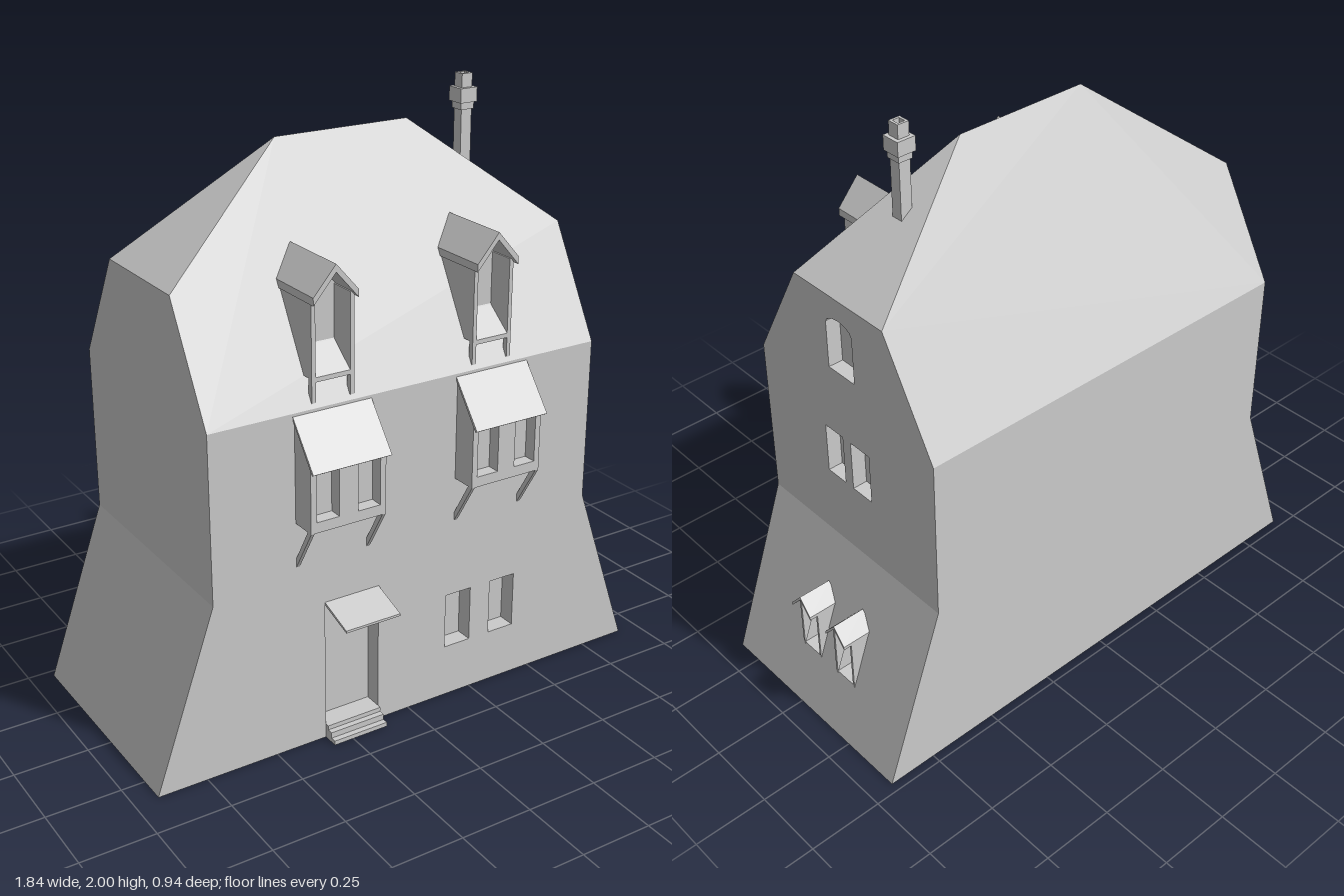
import * as THREE from 'three';

const material = new THREE.MeshStandardMaterial({ color: 0xcccccc, flatShading: true, side: THREE.DoubleSide });
const toShape = (pts) => new THREE.Shape(pts.map(([x, y]) => new THREE.Vector2(x, y)));
const rect = (x0, x1, y0, y1) => [[x0, y0], [x1, y0], [x1, y1], [x0, y1]];

function add(parent, name, geometry) {
  const mesh = new THREE.Mesh(geometry, material);
  mesh.name = name;
  parent.add(mesh);
  return mesh;
}

function box(parent, name, x0, x1, y0, y1, z0, z1) {
  const g = new THREE.BoxGeometry(x1 - x0, y1 - y0, z1 - z0);
  add(parent, name, g.translate((x0 + x1) / 2, (y0 + y1) / 2, (z0 + z1) / 2));
}

// Solid with a flat outline in x, y, running from z0 to z1
const extrude = (pts, z0, z1) =>
  new THREE.ExtrudeGeometry(toShape(pts), { depth: z1 - z0, bevelEnabled: false }).translate(0, 0, z0);

// Solid with a side profile in z, y, running from x0 to x1
const prism = (pts, x0, x1) =>
  new THREE.ExtrudeGeometry(toShape(pts), { depth: x1 - x0, bevelEnabled: false })
    .rotateY(-Math.PI / 2).translate(x1, 0, 0);

// Flat shape moved to its place by the rule place(u, v, d), d = 0 surface, d = 1 recessed
function sheet(shape, place, d) {
  const g = new THREE.ShapeGeometry(shape);
  const p = g.attributes.position;
  for (let i = 0; i < p.count; i++) p.setXYZ(i, ...place(p.getX(i), p.getY(i), d));
  g.computeVertexNormals();
  return g;
}

// Wall with recessed openings
function wall(parent, name, outline, holes, place) {
  const shape = toShape(outline);
  holes.forEach((pts) => shape.holes.push(toShape(pts)));
  add(parent, name, sheet(shape, place, 0));
  holes.forEach((pts) => {
    add(parent, name + 'Pane', sheet(toShape(pts), place, 1));
    const v = [];
    pts.forEach(([a, b], i) => {
      const [c, e] = pts[(i + 1) % pts.length];
      v.push(...place(a, b, 0), ...place(c, e, 0), ...place(c, e, 1));
      v.push(...place(a, b, 0), ...place(c, e, 1), ...place(a, b, 1));
    });
    add(parent, name + 'Reveal', polygon(v));
  });
}

function polygon(coords) {
  const g = new THREE.BufferGeometry();
  g.setAttribute('position', new THREE.Float32BufferAttribute(coords, 3));
  g.computeVertexNormals();
  return g;
}

// Gable roof slab outline
const chevron = (w, eave, apex, t) =>
  [[-w, eave], [-w, eave - t], [0, apex - t], [w, eave - t], [w, eave], [0, apex]];

const FRONT = 0.345, BACK = -0.47, RIDGE = -0.06;

function addShell(house) {
  const facade = [[-0.92, 0], [0.92, 0], [0.71, 0.6], [0.71, 1.16], [-0.71, 1.16], [-0.71, 0.6]];
  wall(house, 'frontWall', facade,
    [rect(-0.32, -0.12, 0.05, 0.495), rect(0.145, 0.245, 0.185, 0.38), rect(0.325, 0.425, 0.185, 0.38)],
    (u, v, d) => [u, v, FRONT - 0.06 * d]);
  wall(house, 'backWall', facade, [], (u, v) => [-u, v, BACK]);

  // Side walls: sloping foot, upright upper part; only the +x side has windows
  const foot = rect(BACK, FRONT, 0, 0.6);
  const upper = [[BACK, 0.6], [FRONT, 0.6], [FRONT, 1.16], [0.1425, 1.52], [-0.265, 1.52], [BACK, 1.16]];
  const arch = [[-0.12, 1.26], [0, 1.26]];
  for (let i = 0; i <= 6; i++) {
    const a = (i / 6) * Math.PI;
    arch.push([-0.06 + 0.06 * Math.cos(a), 1.42 + 0.03 * Math.sin(a)]);
  }
  wall(house, 'leftFoot', foot, [rect(-0.035, 0.05, 0.19, 0.38), rect(-0.21, -0.125, 0.19, 0.38)],
    (u, v, d) => [d ? 0.785 : 0.92 - 0.35 * v, v, u]);
  wall(house, 'leftWall', upper,
    [rect(-0.042, 0.042, 0.845, 1.02), rect(-0.168, -0.08, 0.845, 1.02), arch],
    (u, v, d) => [0.71 - 0.05 * d, v, u]);
  wall(house, 'rightFoot', foot, [], (u, v) => [-0.92 + 0.35 * v, v, u]);
  wall(house, 'rightWall', upper, [], (u, v) => [-0.71, v, u]);

  // Main roof with clipped gable ends
  const slope = [[-0.71, 1.16], [0.71, 1.16], [0.71, 1.52], [0.24, 1.88], [-0.24, 1.88], [-0.71, 1.52]];
  const across = (edge) => (u, v) => [u, v, edge + (RIDGE - edge) * (v - 1.16) / 0.72];
  wall(house, 'frontRoof', slope, [], across(FRONT));
  wall(house, 'backRoof', slope, [], across(BACK));
  for (const s of [-1, 1]) {
    add(house, 'hipRoof', polygon([s * 0.71, 1.52, 0.1425, s * 0.71, 1.52, -0.265, s * 0.24, 1.88, RIDGE]));
  }
}

function roofDormer(x) {
  const g = new THREE.Group();
  g.name = 'roofDormer';
  g.position.x = x;
  add(g, 'dormerRoof', extrude(chevron(0.078, 1.51, 1.6, 0.025), 0.1, 0.36));
  add(g, 'dormerPane', extrude([[-0.065, 1.25], [0.065, 1.25], [0.065, 1.5], [0, 1.58], [-0.065, 1.5]], 0.235, 0.25));
  add(g, 'dormerSill', prism([[0.24, 1.335], [0.24, 1.27], [0.34, 1.24], [0.34, 1.255]], -0.062, 0.062));
  for (const s of [-1, 1]) {
    const [a, b] = s < 0 ? [-0.074, -0.06] : [0.06, 0.074];
    add(g, 'dormerCheek', prism([[0.285, 1.25], [0.34, 1.25], [0.34, 1.5], [0.14, 1.5]], a, b));
    box(g, 'dormerLeg', a, b, 1.175, 1.25, 0.322, 0.34);
  }
  return g;
}

function bayWindow(x) {
  const g = new THREE.Group();
  g.name = 'bayWindow';
  g.position.x = x;
  const w = 0.133;
  box(g, 'bayBody', -w, w, 0.8, 1.02, FRONT, 0.39);
  const frame = toShape(rect(-w, w, 0.8, 1.02));
  for (const c of [-0.073, 0.073]) frame.holes.push(toShape(rect(c - 0.04, c + 0.04, 0.835, 0.995)));
  add(g, 'bayFrame', new THREE.ExtrudeGeometry(frame, { depth: 0.045, bevelEnabled: false }).translate(0, 0, 0.39));
  add(g, 'bayGable', prism([[FRONT, 1.02], [0.435, 1.02], [FRONT, 1.135]], -w, w));
  add(g, 'bayRoof', prism([[FRONT, 1.138], [0.452, 1.0], [0.46, 1.005], [FRONT, 1.15]], -0.138, 0.138));
  for (const s of [-1, 1]) {
    add(g, 'bayBracket', prism([[FRONT, 0.65], [0.435, 0.8], [0.415, 0.8], [FRONT, 0.68]],
      s * 0.127 - 0.006, s * 0.127 + 0.006));
  }
  return g;
}

function sideDormer(z) {
  const g = new THREE.Group();
  g.name = 'sideDormer';
  g.position.z = z;
  add(g, 'sideDormerRoof', extrude(chevron(0.048, 0.385, 0.44, 0.012), 0.77, 0.885).rotateY(Math.PI / 2));
  for (const s of [-1, 1]) {
    add(g, 'sideDormerCheek', extrude([[0.856, 0.185], [0.856, 0.38], [0.785, 0.38]],
      s * 0.043 - 0.004, s * 0.043 + 0.004));
  }
  return g;
}

function chimney() {
  const g = new THREE.Group();
  g.name = 'chimney';
  g.position.set(0.46, 0, RIDGE);
  const block = (name, r, y0, y1) => box(g, name, -r, r, y0, y1, -r, r);
  block('chimneyShaft', 0.02, 1.69, 1.89);
  block('chimneyCollar', 0.025, 1.885, 1.908);
  block('chimneyCap', 0.032, 1.908, 1.955);
  // Hollow square pot
  const pot = toShape(rect(-0.02, 0.02, -0.02, 0.02));
  pot.holes.push(toShape(rect(-0.012, 0.012, -0.012, 0.012)));
  add(g, 'chimneyPot', new THREE.ExtrudeGeometry(pot, { depth: 0.045, bevelEnabled: false })
    .rotateX(-Math.PI / 2).translate(0, 1.955, 0));
  return g;
}

export function createModel() {
  const house = new THREE.Group();
  house.name = 'house';
  addShell(house);
  for (const x of [-0.283, 0.302]) house.add(roofDormer(x));
  for (const x of [-0.288, 0.303]) house.add(bayWindow(x));
  for (const z of [0.0075, -0.1675]) house.add(sideDormer(z));
  house.add(chimney());

  // Entrance: sloping canopy and three steps
  add(house, 'doorCanopy', prism([[FRONT, 0.487], [0.47, 0.448], [0.47, 0.456], [FRONT, 0.497]], -0.32, -0.12));
  [[0.4, 0, 0.015], [0.38, 0.015, 0.035], [0.36, 0.035, 0.05]].forEach(([z, y0, y1]) =>
    box(house, 'doorStep', -0.32, -0.12, y0, y1, FRONT, z));
  return house;
}
